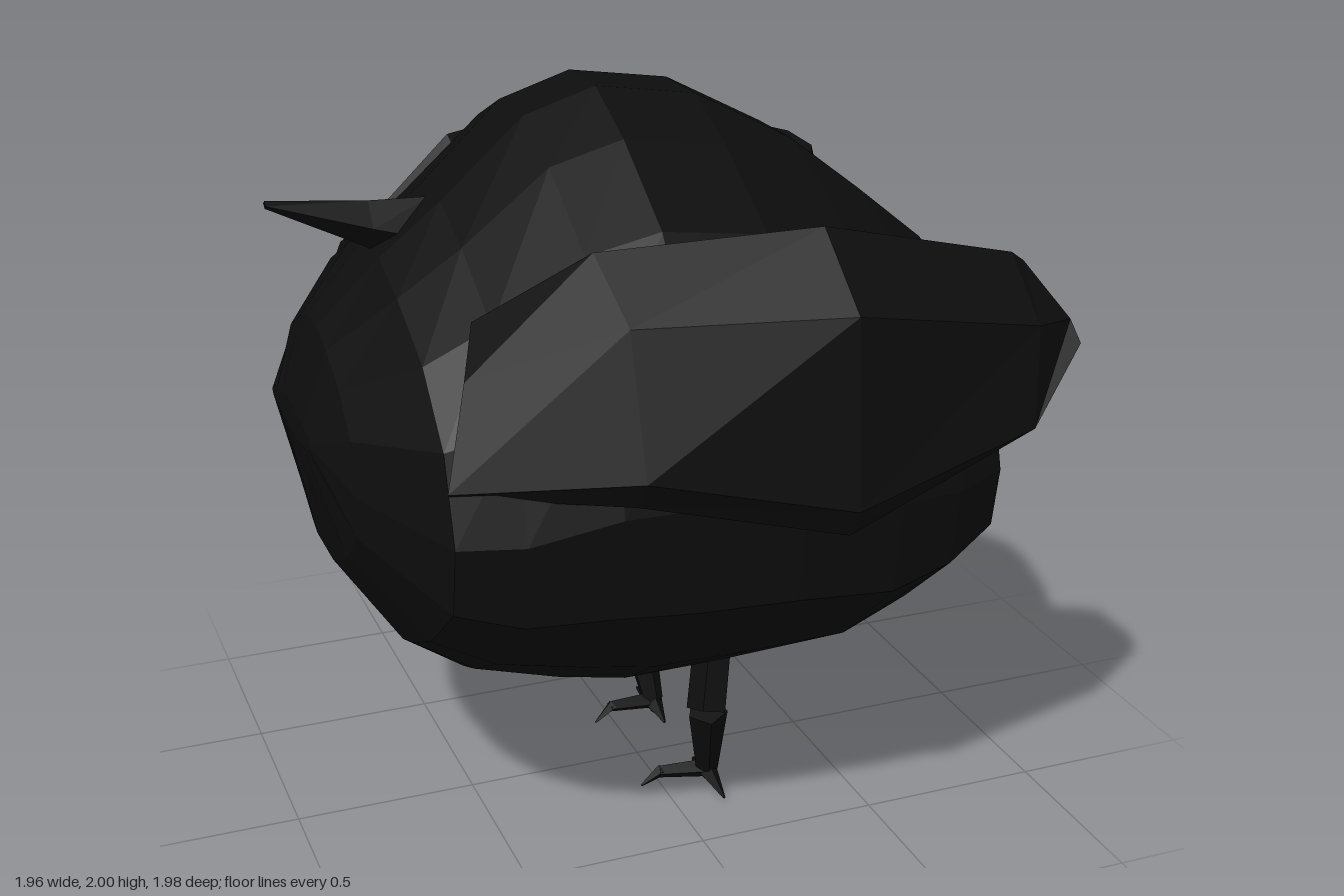
import * as THREE from 'three';

const black = new THREE.MeshStandardMaterial({ color: 0x0d0d0d, flatShading: true });

// Skins a list of rings ([x, y, z] points) and closes both ends
function loft(name, rings) {
  const pos = [];
  const n = rings[0].length;
  const tri = (...p) => p.forEach((q) => pos.push(...q));
  const centre = (ring) => [0, 1, 2].map((k) => ring.reduce((s, p) => s + p[k], 0) / n);
  const first = rings[0], last = rings[rings.length - 1];
  const c0 = centre(first), c1 = centre(last);
  for (let i = 0; i < n; i++) {
    const j = (i + 1) % n;
    for (let r = 0; r < rings.length - 1; r++) {
      const a = rings[r], b = rings[r + 1];
      tri(a[i], a[j], b[i]);
      tri(a[j], b[j], b[i]);
    }
    tri(c0, first[j], first[i]);
    tri(c1, last[i], last[j]);
  }
  const geo = new THREE.BufferGeometry();
  geo.setAttribute('position', new THREE.Float32BufferAttribute(pos, 3));
  geo.computeVertexNormals();
  const mesh = new THREE.Mesh(geo, black);
  mesh.name = name;
  return mesh;
}

// Tapered bar between two points
function bar(name, from, to, r0, r1, sides = 5) {
  const a = new THREE.Vector3(...from), b = new THREE.Vector3(...to);
  const dir = b.clone().sub(a);
  const mesh = new THREE.Mesh(new THREE.CylinderGeometry(r1, r0, dir.length(), sides), black);
  mesh.position.copy(a).add(b).multiplyScalar(0.5);
  mesh.quaternion.setFromUnitVectors(new THREE.Vector3(0, 1, 0), dir.normalize());
  mesh.name = name;
  return mesh;
}

function makeBody() {
  // Half outline of a unit cross-section, [z, y] from top to bottom
  const half = [[0.12, 1], [0.36, 0.89], [0.67, 0.69], [0.9, 0.38], [1, -0.05],
    [0.95, -0.41], [0.63, -0.75], [0.36, -0.93], [0.22, -1]];
  const outline = [...half, ...half.map(([z, y]) => [-z, y]).reverse()];
  // Stations along the body: x, bottom, top, half width
  const stations = [
    [-0.95, 1.15, 1.23, 0.22], [-0.88, 0.81, 1.44, 0.4], [-0.72, 0.58, 1.61, 0.69],
    [-0.56, 0.475, 1.74, 0.75], [-0.34, 0.41, 1.94, 0.81], [-0.15, 0.37, 2, 0.83],
    [0.12, 0.375, 1.96, 0.84], [0.39, 0.39, 1.82, 0.82], [0.6, 0.465, 1.66, 0.73],
    [0.8, 0.555, 1.5, 0.58], [0.9, 0.66, 1.4, 0.38], [0.98, 0.82, 0.95, 0.2]];
  return loft('body', stations.map(([x, lo, hi, w]) =>
    outline.map(([z, y]) => [x, (lo + hi) / 2 + y * (hi - lo) / 2, z * w])));
}

function makeWing(side) {
  // Rings from shoulder to tail end: top, outer top, outer bottom, underside, two buried points
  const rings = [
    [[-0.6, 1.55, 0.47], [-0.66, 1.45, 0.6], [-0.73, 1.21, 0.68], [-0.71, 1.18, 0.63], [-0.6, 1.2, 0.5], [-0.5, 1.5, 0.4]],
    [[-0.34, 1.73, 0.6], [-0.32, 1.6, 0.79], [-0.32, 1.26, 0.9], [-0.32, 1.18, 0.84], [-0.32, 1.2, 0.6], [-0.32, 1.64, 0.5]],
    [[0.18, 1.78, 0.75], [0.18, 1.62, 0.95], [0.18, 1.15, 0.99], [0.18, 1.07, 0.94], [0.18, 1.14, 0.75], [0.18, 1.68, 0.58]],
    [[0.74, 1.63, 0.66], [0.72, 1.5, 0.85], [0.7, 1.25, 0.89], [0.7, 1.22, 0.82], [0.7, 1.25, 0.5], [0.7, 1.52, 0.48]],
    [[0.8, 1.59, 0.62], [0.88, 1.46, 0.73], [0.87, 1.42, 0.8], [0.78, 1.28, 0.79], [0.77, 1.3, 0.56], [0.76, 1.5, 0.52]],
  ];
  if (side > 0) return loft('leftWing', rings);
  return loft('rightWing', rings.map((r) => r.map(([x, y, z]) => [x, y, -z]).reverse()));
}

function makeBeak() {
  // Rings from tip to buried base: x, top, bottom, half width
  const stations = [[-0.98, 1.76, 1.74, 0.015], [-0.72, 1.735, 1.61, 0.045], [-0.56, 1.73, 1.53, 0.065], [-0.42, 1.74, 1.5, 0.07]];
  return loft('beak', stations.map(([x, t, b, w]) => {
    const m = (t + b) / 2;
    return [[x, t, 0], [x, m, w], [x, b, 0], [x, m, -w]];
  }));
}

function makeLeg(side) {
  const leg = new THREE.Group();
  leg.name = side > 0 ? 'leftLeg' : 'rightLeg';
  const p = (x, y, z) => [x, y, z * side];
  const knee = p(0.1, 0.27, 0.28), ankle = p(0.13, 0.04, 0.21);
  leg.add(bar('thigh', p(0.15, 0.48, 0.21), knee, 0.055, 0.057));
  leg.add(bar('shin', knee, ankle, 0.057, 0.032));
  // One toe forward with a bent claw, one to each side
  leg.add(bar('frontToe', ankle, p(-0.01, 0.05, 0.2), 0.028, 0.018, 4));
  leg.add(bar('frontClaw', p(0, 0.055, 0.2), p(-0.06, 0.01, 0.19), 0.018, 0.003, 4));
  leg.add(bar('outerToe', ankle, p(0.13, 0.015, 0.34), 0.03, 0.004, 4));
  leg.add(bar('innerToe', ankle, p(0.13, 0.015, 0.11), 0.03, 0.004, 4));
  leg.add(bar('heel', ankle, p(0.135, 0.003, 0.2), 0.03, 0.01, 4));
  return leg;
}

export function createModel() {
  const bird = new THREE.Group();
  bird.name = 'bird';
  bird.add(makeBody(), makeBeak());
  for (const side of [1, -1]) bird.add(makeWing(side), makeLeg(side));
  return bird;
}
